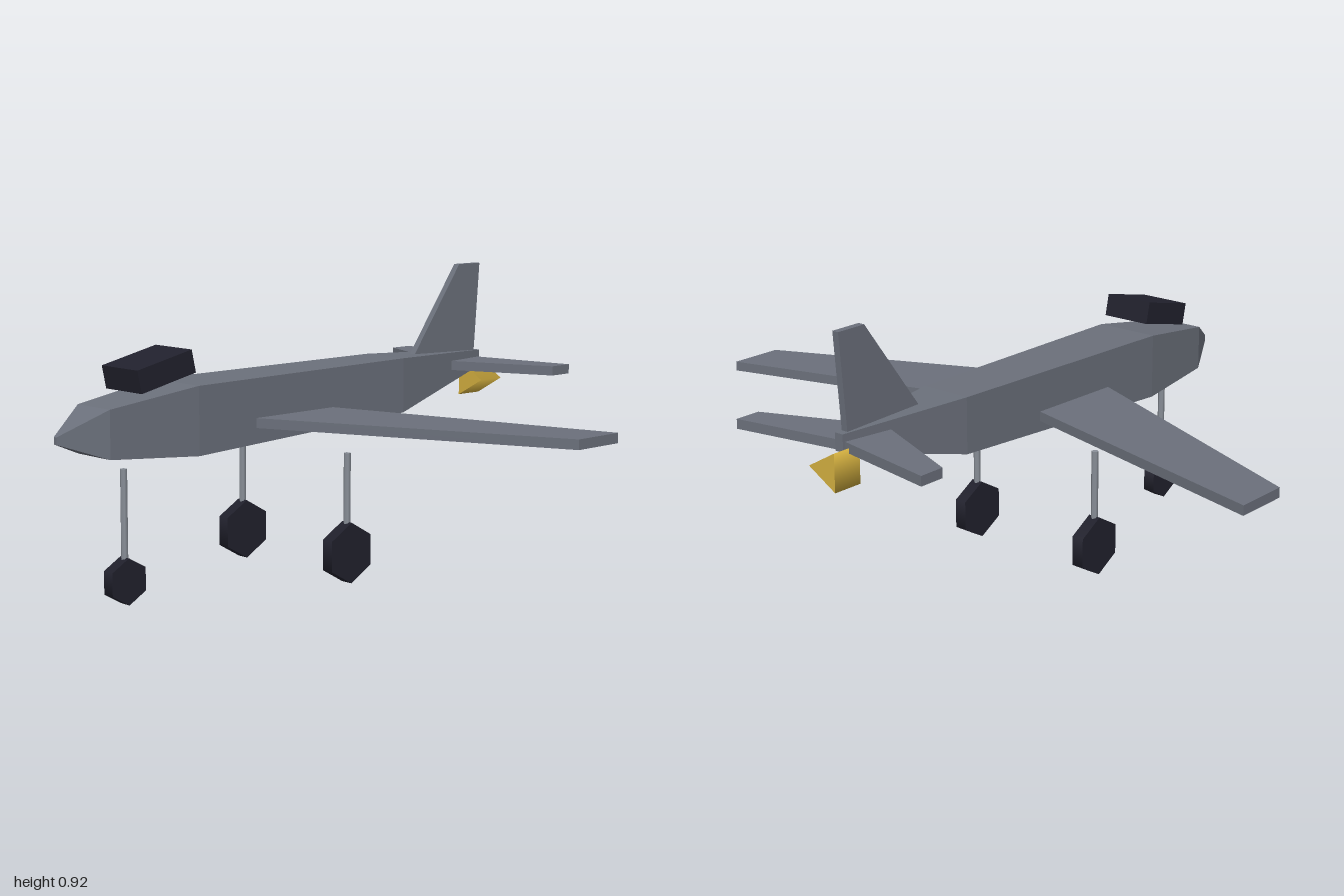
import * as THREE from 'three';

const paint = (name, color, flat) =>
  Object.assign(new THREE.MeshStandardMaterial({ color }), { name, flatShading: flat });

// Closed hull through rectangular sections [z, halfWidth, bottom, top], front to back
function loftBoxes(sections) {
  const rings = sections.map(([z, w, lo, hi]) => [[w, hi, z], [-w, hi, z], [-w, lo, z], [w, lo, z]]);
  const out = [];
  const quad = (a, b, c, d) => out.push(...a, ...b, ...c, ...a, ...c, ...d);
  quad(...rings[0]);
  for (let i = 0; i < rings.length - 1; i++) {
    const f = rings[i], r = rings[i + 1];
    for (let k = 0; k < 4; k++) {
      const n = (k + 1) % 4;
      quad(f[k], r[k], r[n], f[n]);
    }
  }
  quad(...rings[rings.length - 1].slice().reverse());
  const g = new THREE.BufferGeometry();
  g.setAttribute('position', new THREE.Float32BufferAttribute(out, 3));
  g.computeVertexNormals();
  return g;
}

const plate = (points, depth) =>
  new THREE.ExtrudeGeometry(new THREE.Shape(points.map(p => new THREE.Vector2(...p))),
    { depth, bevelEnabled: false });

// Horizontal panel from [x, z] corners, mirrored by side, with its underside at y
const panel = (corners, side, y, thick) =>
  plate(corners.map(([x, z]) => [x * side, -z]), thick).rotateX(-Math.PI / 2).translate(0, y, 0);

export function createModel() {
  const model = new THREE.Group();
  const grey = paint('body grey', 0x6b707b, true);
  const dark = paint('dark glass and rubber', 0x21212d, false);
  const steel = paint('strut grey', 0x8a9099, false);
  const gold = paint('nozzle gold', 0xd4b040, false);
  const add = (name, geometry, material) => {
    const m = new THREE.Mesh(geometry, material);
    m.name = name;
    model.add(m);
    return m;
  };

  add('fuselage', loftBoxes([
    [0.895, 0.006, 0.497, 0.518],
    [0.76, 0.075, 0.447, 0.59],
    [0.46, 0.105, 0.427, 0.633],
    [-0.41, 0.083, 0.465, 0.64],
    [-0.845, 0.015, 0.574, 0.628],
  ]), grey);

  // Swept wings and tailplanes
  for (const [side, label] of [[1, 'left'], [-1, 'right']]) {
    add(label + 'Wing', panel([[0.085, 0.241], [1, -0.163], [1, -0.337], [0.085, -0.087]], side, 0.485, 0.03), grey);
    add(label + 'Tailplane', panel([[0.015, -0.67], [0.36, -0.815], [0.36, -0.898], [0.015, -0.837]], side, 0.575, 0.03), grey);
  }

  // Upright fin, drawn in side profile
  add('fin', plate([[0.51, 0.6], [0.82, 0.6], [0.845, 0.92], [0.745, 0.92]], 0.022)
    .rotateY(Math.PI / 2).translate(-0.011, 0, 0), grey);

  const canopy = add('canopy', new THREE.BoxGeometry(0.166, 0.07, 0.204), dark);
  canopy.position.set(0, 0.681, 0.56);
  canopy.rotation.x = 0.22;

  // Three-sided exhaust nozzle under the tail
  add('nozzle', new THREE.CylinderGeometry(0.067, 0.067, 0.098, 3, 1, false, Math.PI / 2)
    .rotateX(Math.PI / 2).translate(0, 0.533, -0.849), gold);

  // Landing gear: strut and six-sided wheel
  for (const [label, x, z, r] of [['nose', 0, 0.657, 0.07], ['left', 0.24, -0.007, 0.094], ['right', -0.24, -0.007, 0.094]]) {
    const len = 0.4 - r;
    add(label + 'Strut', new THREE.CylinderGeometry(0.011, 0.011, len, 6)
      .translate(x, r + len / 2, z), steel);
    add(label + 'Wheel', new THREE.CylinderGeometry(r, r, 0.04, 6)
      .rotateY(Math.PI / 2).rotateZ(Math.PI / 2).translate(x, r, z), dark);
  }
  return model;
}
